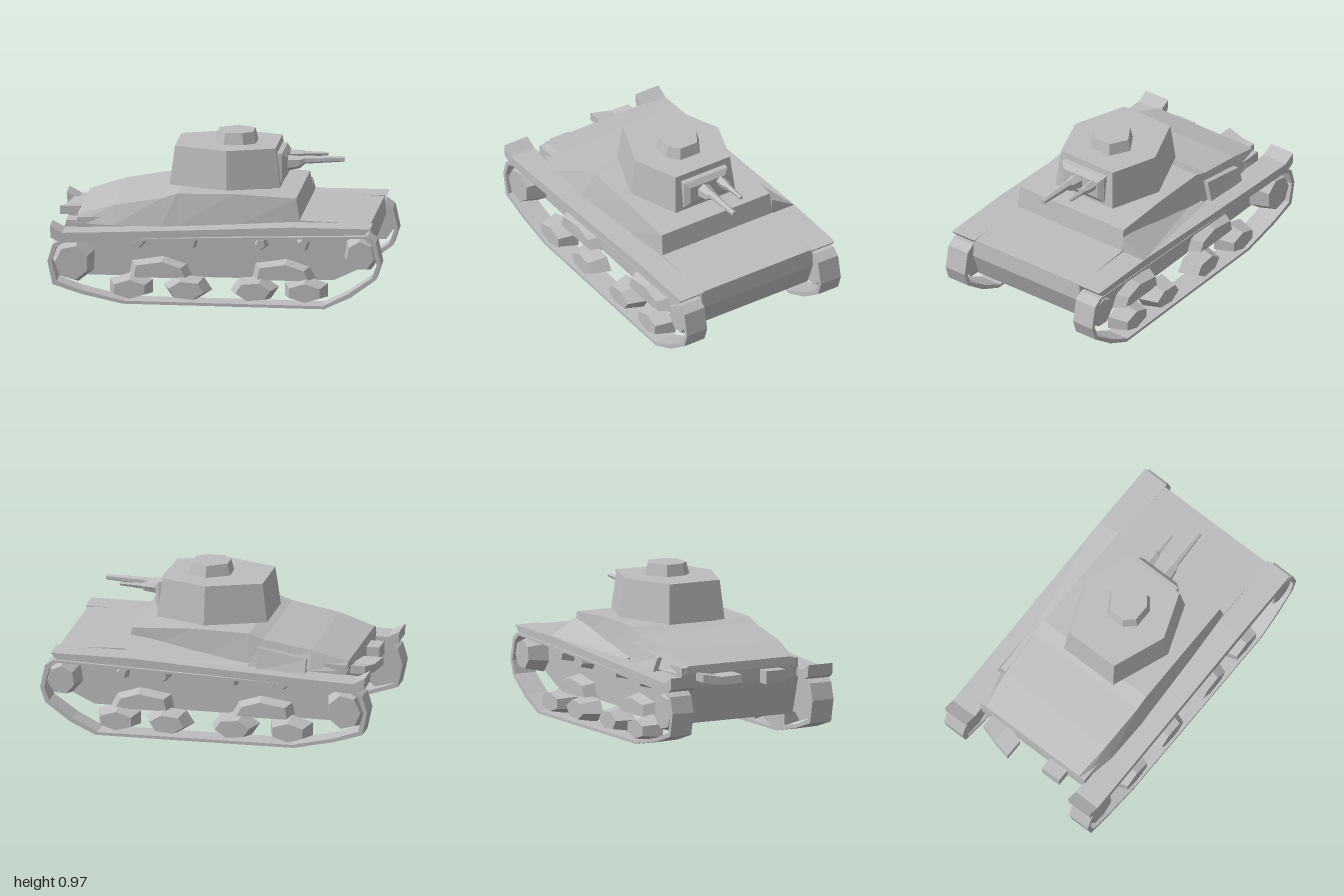
import * as THREE from 'three';

const grey = new THREE.MeshStandardMaterial({ color: 0xbdbdbd, flatShading: true, side: THREE.DoubleSide });
grey.name = 'hull grey';

function add(parent, name, geometry, x = 0, y = 0, z = 0) {
  const mesh = new THREE.Mesh(geometry, grey);
  mesh.name = name;
  mesh.position.set(x, y, z);
  parent.add(mesh);
}

// Skin a row of rings (each wound right-handed around the travel direction) and cap both ends.
function loft(rings) {
  const out = [];
  const n = rings[0].length;
  const tri = (a, b, c) => out.push(...a, ...b, ...c);
  for (let i = 0; i < rings.length - 1; i++) {
    for (let j = 0; j < n; j++) {
      const k = (j + 1) % n;
      const [p, q] = [rings[i], rings[i + 1]];
      tri(p[j], p[k], q[j]);
      tri(p[k], q[k], q[j]);
    }
  }
  const first = rings[0], last = rings[rings.length - 1];
  for (let j = 1; j < n - 1; j++) {
    tri(first[0], first[j + 1], first[j]);
    tri(last[0], last[j], last[j + 1]);
  }
  const g = new THREE.BufferGeometry();
  g.setAttribute('position', new THREE.Float32BufferAttribute(out, 3));
  g.computeVertexNormals();
  return g;
}

// Extrude a side profile (x, y) between two z positions, with an optional hole.
function slab(points, z0, z1, hole) {
  const shape = new THREE.Shape(points.map(p => new THREE.Vector2(...p)));
  if (hole) shape.holes.push(new THREE.Path(hole.map(p => new THREE.Vector2(...p))));
  return new THREE.ExtrudeGeometry(shape, { depth: z1 - z0, bevelEnabled: false }).translate(0, 0, z0);
}

// Faceted round bar along x; stations are [x, y, radius].
function bar(stations, z, sides) {
  return loft(stations.map(([x, y, r]) => Array.from({ length: sides }, (_, i) => {
    const a = (i / sides) * Math.PI * 2;
    return [x, y + r * Math.cos(a), z + r * Math.sin(a)];
  })));
}

// Chunky wheel facing outward along z; taper is the outer face size.
function wheel(parent, name, x, y, rx, ry, z, depth, sides, turn, taper) {
  const g = new THREE.CylinderGeometry(taper, 1, 1, sides).rotateX(Math.PI / 2).rotateZ(turn);
  add(parent, name, g.scale(rx, ry, depth), x, y, z);
}

function runningGear(name) {
  const side = new THREE.Group();
  side.name = name;

  // Track band
  const outer = [[-1, 0.26], [-0.97, 0.12], [-0.8, 0.065], [-0.55, 0.01], [0.66, 0.005], [0.82, 0.08],
    [0.97, 0.19], [1, 0.28], [0.97, 0.42], [0.92, 0.455], [0, 0.425], [-0.92, 0.39], [-0.97, 0.36]];
  const inner = [[-0.975, 0.26], [-0.945, 0.14], [-0.8, 0.088], [-0.54, 0.028], [0.65, 0.023], [0.8, 0.1],
    [0.945, 0.2], [0.975, 0.28], [0.945, 0.4], [0.9, 0.44], [0, 0.412], [-0.9, 0.375], [-0.945, 0.35]];
  add(side, 'track', slab(outer, 0.405, 0.548, inner));

  // Fender rising toward the front, with a kicked-up rear lip
  add(side, 'fender', slab([[-0.985, 0.475], [-0.98, 0.405], [-0.945, 0.385], [0, 0.432], [0.9, 0.462],
    [0.935, 0.5], [0.46, 0.5], [0, 0.475], [-0.6, 0.447], [-0.91, 0.435]], 0.385, 0.55));

  // End wheels
  wheel(side, 'rearEndWheel', -0.855, 0.25, 0.135, 0.14, 0.475, 0.125, 7, 0.2, 0.75);
  wheel(side, 'frontEndWheel', 0.875, 0.33, 0.112, 0.118, 0.475, 0.125, 7, 0.5, 0.75);

  // Road wheels
  [-0.51, -0.17, 0.23, 0.54].forEach((x, i) =>
    wheel(side, 'roadWheel', x, 0.095, 0.148, 0.08, 0.475, 0.12, 6, i * 0.35, 0.72));

  // Suspension arms over each wheel pair, narrowing outward
  const arm = [[-0.19, 0.155], [0.2, 0.155], [0.16, 0.23], [0.02, 0.275], [-0.17, 0.245]];
  for (const x of [-0.34, 0.4]) {
    add(side, 'suspensionArm', loft([[0.39, 1], [0.465, 0.8]].map(([z, s]) =>
      arm.map(([px, py]) => [px * s, 0.155 + (py - 0.155) * s, z]))), x);
  }

  // Return rollers
  [-0.46, -0.15, 0.27, 0.52].forEach((x, i) =>
    wheel(side, 'returnRoller', x, 0.375, 0.045, 0.055, 0.43, 0.09, 5, i * 0.6, 0.6));
  return side;
}

export function createModel() {
  const tank = new THREE.Group();
  tank.name = 'tank';

  // Lower hull with a nearly upright nose and front deck
  add(tank, 'hull', slab([[-0.77, 0.15], [0.7, 0.15], [0.87, 0.23], [0.93, 0.385], [0.92, 0.495],
    [0.5, 0.51], [-0.84, 0.5], [-0.84, 0.38]], -0.395, 0.395));

  // Superstructure: [bottom x, top x, top y, half width at the top, half width at the bottom]
  const stations = [[-0.845, -0.84, 0.51, 0.355, 0.385], [-0.62, -0.62, 0.575, 0.38, 0.425],
    [-0.33, -0.33, 0.625, 0.39, 0.43], [-0.24, -0.24, 0.655, 0.39, 0.425],
    [0.1, 0.1, 0.66, 0.39, 0.415], [0.505, 0.475, 0.64, 0.385, 0.395]];
  add(tank, 'superstructure', loft(stations.map(([xb, xt, y, wt, wb]) =>
    [[xt, y, -wt], [xt, y, wt], [xb, 0.46, wb], [xb, 0.46, -wb]])));

  // Sloped flank plate spreading over one fender toward the front
  add(tank, 'flankPlate', loft([[-0.25, 0.49, 0.47, -0.45], [0.49, 0.6, 0.5, -0.55]].map(([x, yTop, yOut, zOut]) =>
    [[x, yTop, -0.39], [x, 0.46, -0.39], [x, yOut, zOut]])));

  // Stowage box on the same flank
  add(tank, 'stowageBox', loft([[-0.6, 0.53], [-0.3, 0.585]].map(([x, y]) =>
    [[x, y, -0.43], [x, y, -0.38], [x, 0.45, -0.38], [x, 0.45, -0.46]])));

  // Turret: rings of the six-sided plan, narrowing upward
  const plan = [[0.05, 0.325], [0.36, 0.21], [0.36, -0.215], [0.05, -0.328], [-0.305, -0.185], [-0.305, 0.19]];
  const ring = (y, s) => plan.map(([x, z]) => [0.03 + (x - 0.03) * s, y, z * s]);
  add(tank, 'turretRing', loft([ring(0.64, 0.84), ring(0.675, 0.84)]));
  add(tank, 'turret', loft([ring(0.665, 1), ring(0.9, 0.91)]));

  // Cupola
  const cupolaPlan = [[0.01, 0.125], [0.13, 0.125], [0.2, 0.07], [0.2, -0.07], [0.08, -0.14], [-0.05, -0.06], [-0.05, 0.06]];
  const cupolaRing = (y, s) => cupolaPlan.map(([x, z]) => [0.075 + (x - 0.075) * s, y, z * s]);
  add(tank, 'cupola', loft([cupolaRing(0.895, 1), cupolaRing(0.97, 0.86)]));

  // Gun shield and guns
  add(tank, 'gunShield', loft([[0.3, 0.68, 0.865, 0.155], [0.365, 0.685, 0.86, 0.155], [0.39, 0.72, 0.83, 0.125]]
    .map(([x, y0, y1, w]) => [[x, y1, -w], [x, y1, w], [x, y0, w], [x, y0, -w]])));
  add(tank, 'mainGun', bar([[0.34, 0.775, 0.055], [0.46, 0.785, 0.037], [0.49, 0.8, 0.025], [0.725, 0.81, 0.016]], 0.03, 6));
  add(tank, 'machineGun', bar([[0.36, 0.8, 0.035], [0.46, 0.805, 0.027], [0.48, 0.808, 0.018], [0.615, 0.812, 0.011]], -0.09, 5));

  // Rear exhaust, widening toward its open end, and tow bracket
  add(tank, 'exhaust', loft([[-0.3, 0.83, 0.93, 0.42], [-0.19, 0.83, 0.96, 0.4], [-0.07, 0.87, 0.99, 0.41]]
    .map(([z, x0, x1, y]) => [[-x1, y, z], [-x0, y, z], [-x0, y + 0.05, z], [-x1, y + 0.05, z]])));
  add(tank, 'rearBracket', new THREE.BoxGeometry(0.09, 0.08, 0.13), -0.875, 0.41, 0.2);

  // Running gear, mirrored onto the other flank
  tank.add(runningGear('runningGearNear'));
  const far = runningGear('runningGearFar');
  far.scale.z = -1;
  tank.add(far);
  return tank;
}
